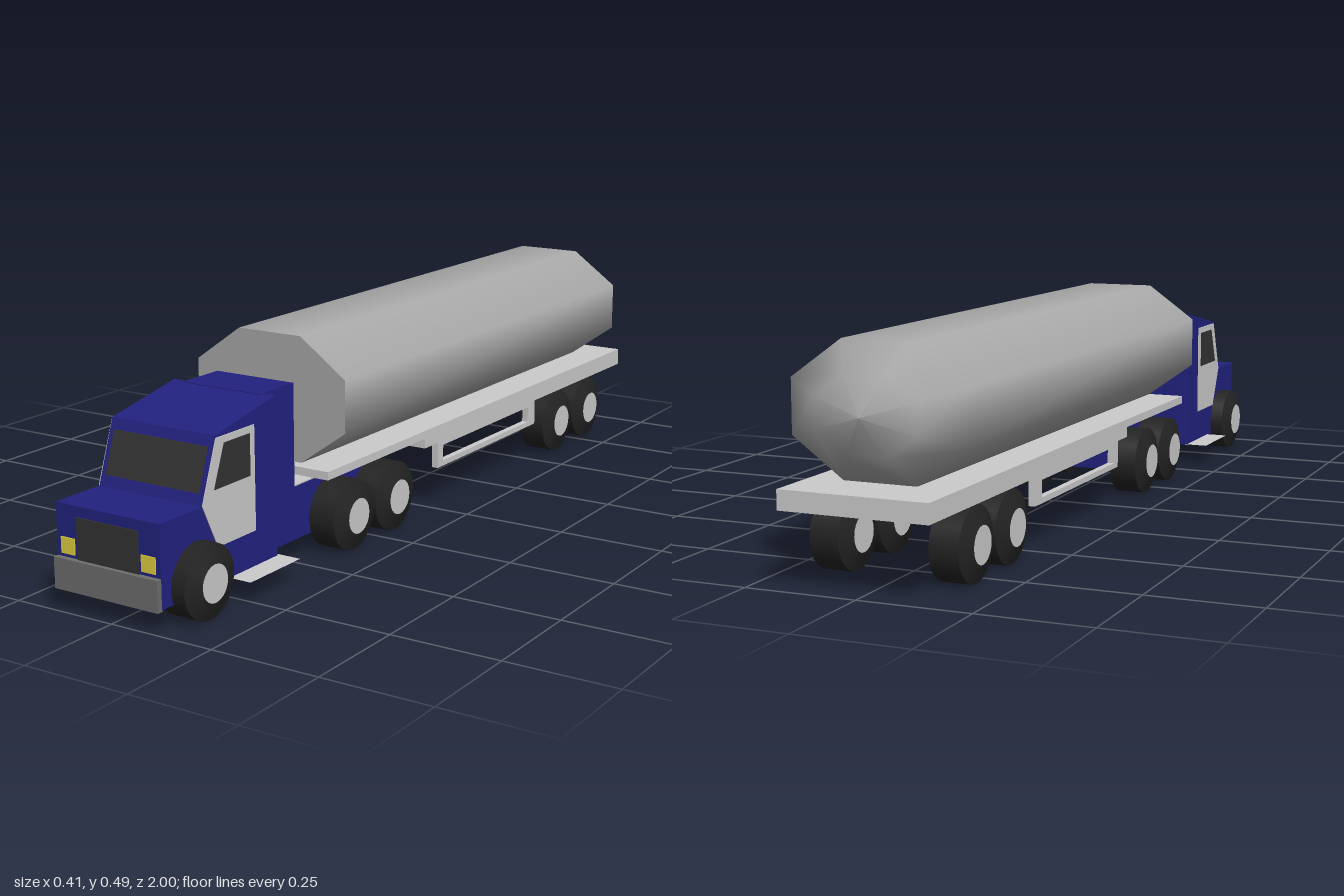
import * as THREE from 'three';

const paint = (color, extra = {}) => new THREE.MeshStandardMaterial({ color, ...extra });

export function createModel() {
  const blue = paint(0x222280), light = paint(0xcccccc), steel = paint(0xaaaaaa);
  const dark = paint(0x333333), rubber = paint(0x232323);
  const bumperGrey = paint(0x6e6e6e), yellow = paint(0xe0d040);
  const truck = new THREE.Group();
  truck.name = 'tankerTruck';

  const add = (name, geometry, material, x = 0, y = 0, z = 0, parent = truck) => {
    const mesh = new THREE.Mesh(geometry, material);
    mesh.name = name;
    mesh.position.set(x, y, z);
    parent.add(mesh);
    return mesh;
  };
  const box = (name, material, w, h, d, x, y, z) =>
    add(name, new THREE.BoxGeometry(w, h, d), material, x, y, z);

  // Side outline given as [z, y] points, extruded across x and centred on x = 0
  const side = (points, width, hole) => {
    const shape = new THREE.Shape(points.map(p => new THREE.Vector2(...p)));
    if (hole) shape.holes.push(new THREE.Path(hole.map(p => new THREE.Vector2(...p))));
    return new THREE.ExtrudeGeometry(shape, { depth: width, bevelEnabled: false })
      .rotateY(-Math.PI / 2).translate(width / 2, 0, 0);
  };

  // Tractor body
  add('cab', side([[0.6, 0.05], [0.985, 0.05], [0.985, 0.228], [0.853, 0.228],
    [0.805, 0.365], [0.6, 0.405]], 0.27), blue);
  box('sleeper', blue, 0.206, 0.355, 0.12, 0, 0.2275, 0.55);
  box('tractorChassis', blue, 0.206, 0.122, 0.32, 0, 0.111, 0.35);
  box('chassisTopPlate', light, 0.206, 0.003, 0.3, 0, 0.1735, 0.34);
  add('fifthWheel', new THREE.CylinderGeometry(0.062, 0.062, 0.014, 16), light, 0, 0.181, 0.328);

  // Front of the cab
  add('windshield', side([[0.842, 0.252], [0.847, 0.252], [0.815, 0.342], [0.81, 0.342]], 0.246), dark);
  box('grille', dark, 0.16, 0.09, 0.006, 0, 0.16, 0.985);
  box('bumper', bumperGrey, 0.27, 0.068, 0.016, 0, 0.081, 0.99);
  for (const s of [-1, 1]) box('headlight', yellow, 0.036, 0.035, 0.006, s * 0.105, 0.14, 0.985);

  // Doors, side windows and step plates
  for (const s of [-1, 1]) {
    add('door', side([[0.677, 0.13], [0.805, 0.13], [0.853, 0.228], [0.805, 0.36], [0.677, 0.36]], 0.004),
      light, s * 0.135);
    add('sideWindow', side([[0.695, 0.254], [0.815, 0.254], [0.78, 0.345], [0.695, 0.345]], 0.004),
      dark, s * 0.137);
    const step = new THREE.PlaneGeometry(0.06, 0.175).rotateX(-Math.PI / 2);
    add('sideStep', step, paint(0xcccccc, { side: THREE.DoubleSide }), s * 0.159, 0.052, 0.68);
  }

  // Trailer deck with a thinner neck at the front, and side guards
  add('trailerDeck', side([[-0.998, 0.163], [0.05, 0.163], [0.05, 0.187], [0.455, 0.187],
    [0.455, 0.206], [-0.998, 0.206]], 0.335), light);
  for (const s of [-1, 1]) {
    add('sideGuard', side([[-0.5, 0.1], [-0.01, 0.1], [-0.01, 0.165], [-0.5, 0.165]], 0.016,
      [[-0.463, 0.113], [-0.463, 0.152], [-0.035, 0.152], [-0.035, 0.113]]), light, s * 0.159);
  }

  // Eight-sided tank with a domed rear and flat front
  const tank = new THREE.Group();
  tank.name = 'tank';
  tank.position.y = 0.352;
  truck.add(tank);
  const R = 0.2165, flatten = 0.715;
  const profile = [[0, -0.965], [R * 0.57, -0.938], [R, -0.882], [R, 0.435]];
  add('tankShell', new THREE.LatheGeometry(profile.map(p => new THREE.Vector2(...p)), 8, Math.PI / 8)
    .rotateX(Math.PI / 2).scale(1, flatten, 1), steel, 0, 0, 0, tank);
  add('tankFront', new THREE.CircleGeometry(R, 8, Math.PI / 8).scale(1, flatten, 1),
    steel, 0, 0, 0.435, tank);

  // Wheels: tyre with conical sidewalls and a hub cap on both faces
  const tyreProfile = [[0.041, -0.048], [0.081, -0.033], [0.081, -0.033], [0.081, 0.033],
    [0.081, 0.033], [0.041, 0.048]].map(p => new THREE.Vector2(...p));
  const tyre = new THREE.LatheGeometry(tyreProfile, 20).rotateZ(Math.PI / 2);
  const hub = new THREE.CylinderGeometry(0.041, 0.041, 0.096, 20).rotateZ(Math.PI / 2);
  for (const z of [0.875, 0.355, 0.185, -0.625, -0.795]) {
    for (const s of [-1, 1]) {
      const wheel = new THREE.Group();
      wheel.name = 'wheel';
      wheel.position.set(s * 0.135, 0.082, z);
      add('tyre', tyre, rubber, 0, 0, 0, wheel);
      add('hub', hub, light, 0, 0, 0, wheel);
      truck.add(wheel);
    }
  }

  // The truck stands very slightly turned
  truck.rotation.y = -0.011;
  truck.position.x = -0.004;
  const model = new THREE.Group();
  model.name = 'model';
  model.add(truck);
  return model;
}
